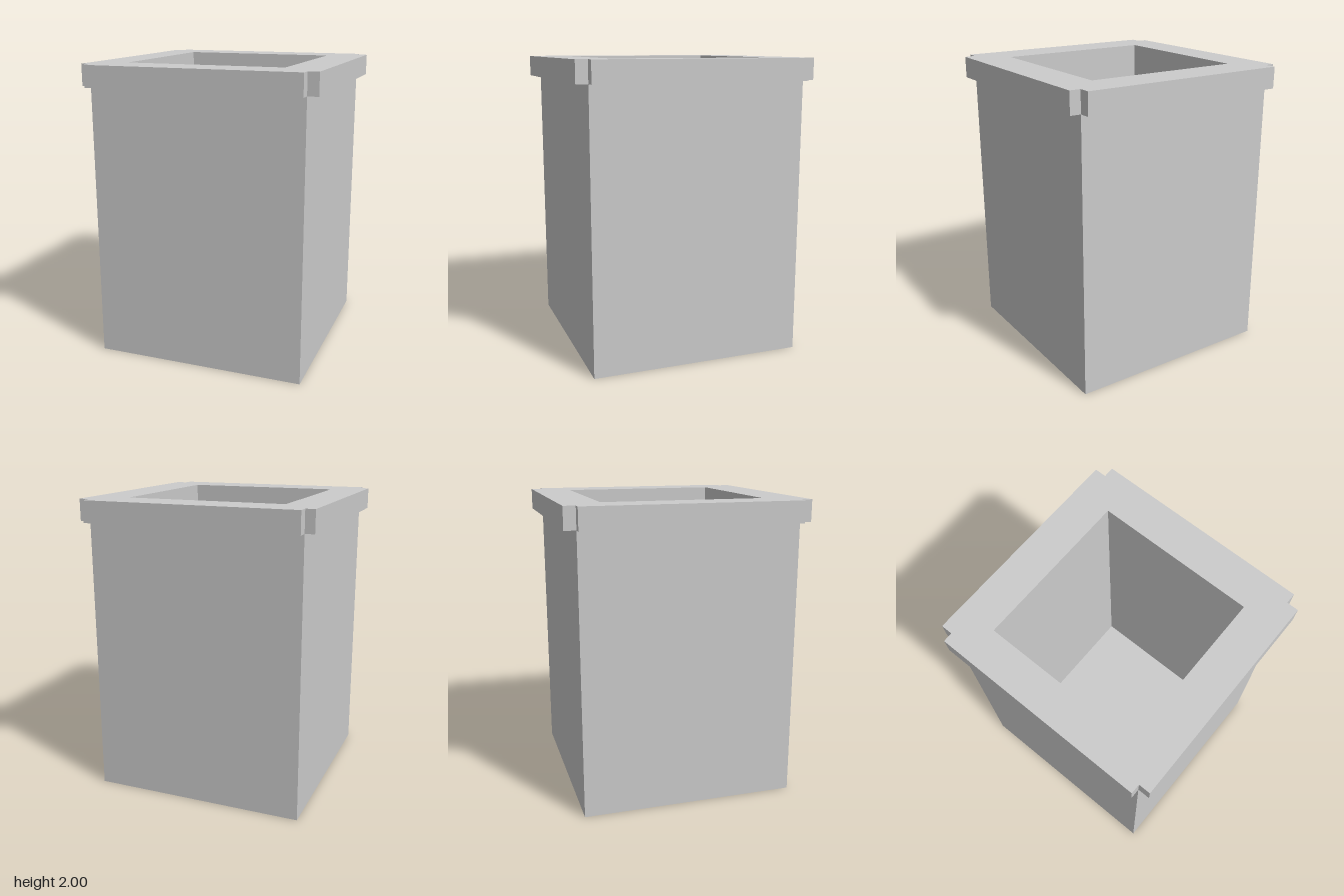
import * as THREE from 'three';

// Plan extents: x0, x1, z0, z1
const BODY = [-0.725, 0.713, -0.72, 0.718];
const RIM = [-0.788, 0.785, -0.797, 0.796];
const OPENING = [-0.55, 0.523, -0.538, 0.531];
const FLOOR = 0.18, RIM_BOTTOM = 1.856, TOP = 2;

const rectangle = ([x0, x1, z0, z1]) => [[x0, z0], [x1, z0], [x1, z1], [x0, z1]];
// Reversed after flipping z, so that every outline runs counter-clockwise
const toPoints = (plan) => plan.map(([x, z]) => new THREE.Vector2(x, -z)).reverse();

// Extrudes a plan outline upwards from y0 to y1, with an optional opening
function slab(name, outline, y0, y1, opening) {
  const shape = new THREE.Shape(toPoints(outline));
  if (opening) shape.holes.push(new THREE.Path(toPoints(opening)));
  const geometry = new THREE.ExtrudeGeometry(shape, { depth: y1 - y0, bevelEnabled: false });
  geometry.rotateX(-Math.PI / 2).translate(0, y0, 0);
  const mesh = new THREE.Mesh(
    geometry,
    new THREE.MeshStandardMaterial({ color: 0xcccccc, flatShading: true })
  );
  mesh.name = name;
  return mesh;
}

export function createModel() {
  const group = new THREE.Group();
  group.name = 'squarePlanter';

  // Rim outline: overhanging on each side, notched back to the body at the corners
  const [bx0, bx1, bz0, bz1] = BODY;
  const [rx0, rx1, rz0, rz1] = RIM;
  const rimOutline = [
    [bx0, rz0], [bx1, rz0], [bx1, bz0], [rx1, bz0],
    [rx1, bz1], [bx1, bz1], [bx1, rz1], [bx0, rz1],
    [bx0, bz1], [rx0, bz1], [rx0, bz0], [bx0, bz0],
  ];

  group.add(
    slab('floor', rectangle(BODY), 0, FLOOR),
    slab('walls', rectangle(BODY), FLOOR, RIM_BOTTOM, rectangle(OPENING)),
    slab('rim', rimOutline, RIM_BOTTOM, TOP, rectangle(OPENING))
  );
  return group;
}
